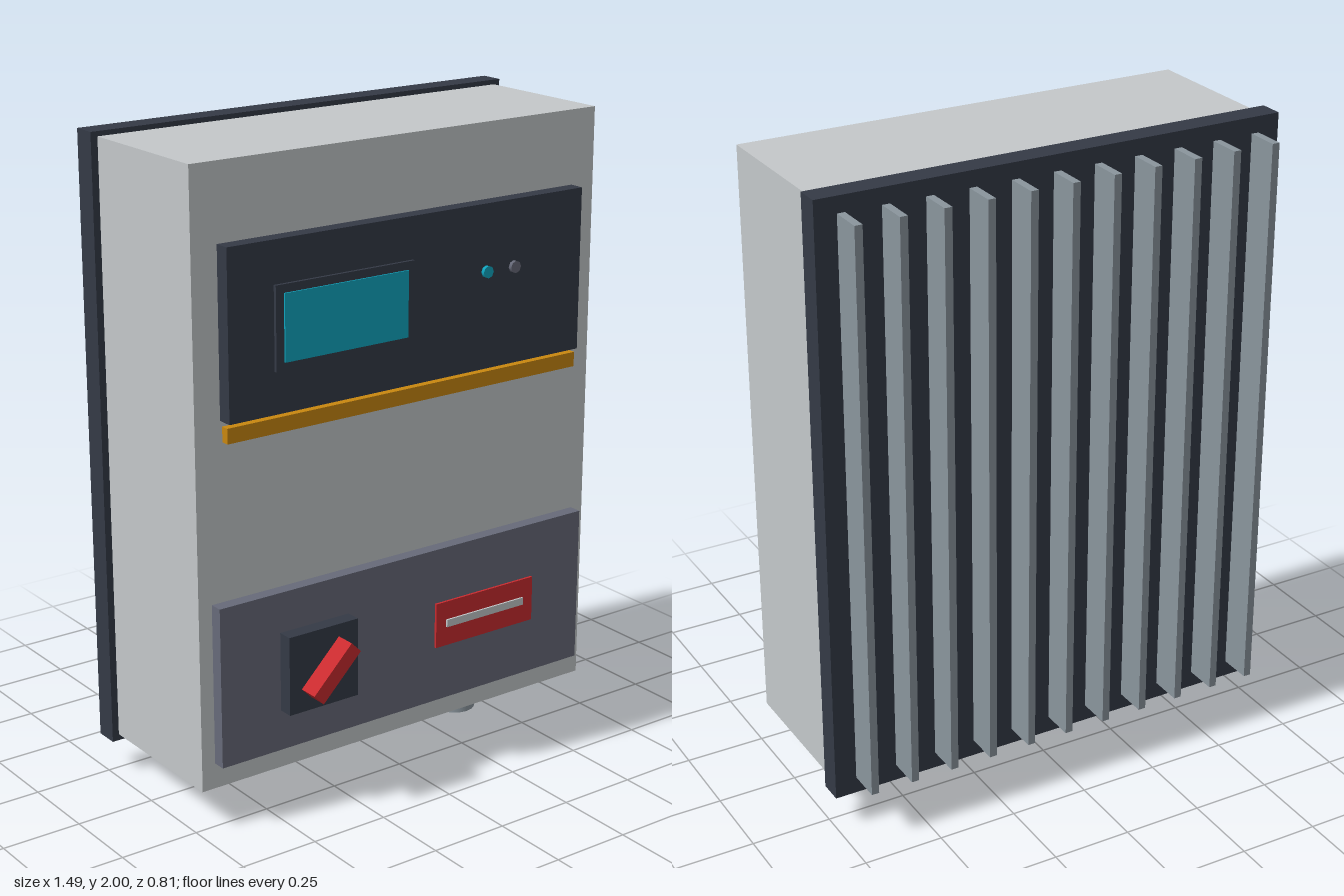
import * as THREE from 'three';

const paint = (name, color) => {
  const m = new THREE.MeshStandardMaterial({ color });
  m.name = name;
  return m;
};

export function createModel() {
  const shell = paint('light grey', 0xc4c8ca);
  const dark = paint('dark slate', 0x343a46);
  const metal = paint('fin grey', 0x8a959d);
  const panel = paint('panel grey', 0x676a79);
  const red = paint('red', 0xc92b2f);
  const teal = paint('teal', 0x0fa5bf);
  const amber = paint('amber', 0xc9870f);

  const model = new THREE.Group();
  model.name = 'inverterBox';

  const add = (name, geometry, material, x, y, z) => {
    const mesh = new THREE.Mesh(geometry, material);
    mesh.name = name;
    mesh.position.set(x, y, z);
    model.add(mesh);
    return mesh;
  };
  // Box given by its limits on each axis
  const box = (name, material, [x0, x1], [y0, y1], [z0, z1]) =>
    add(name, new THREE.BoxGeometry(x1 - x0, y1 - y0, z1 - z0), material,
      (x0 + x1) / 2, (y0 + y1) / 2, (z0 + z1) / 2);

  // Housing and back plate
  box('housing', shell, [-0.725, 0.725], [0.125, 1.985], [-0.225, 0.252]);
  box('backPlate', dark, [-0.747, 0.747], [0.105, 2], [-0.3, -0.225]);

  // Cooling fins
  for (let i = 0; i < 11; i++) {
    const x = (i - 5) * 0.1333;
    box('coolingFin', metal, [x - 0.012, x + 0.012], [0.158, 1.95], [-0.405, -0.3]);
  }

  // Display panel with screen, indicator lights and accent strip
  box('displayPanel', dark, [-0.64, 0.64], [1.25, 1.755], [0.252, 0.3]);
  box('screenBezel', dark, [-0.487, -0.003], [1.377, 1.627], [0.3, 0.31]);
  box('screen', teal, [-0.46, -0.028], [1.402, 1.602], [0.308, 0.315]);
  [[0.272, teal], [0.377, panel]].forEach(([x, material]) => {
    const light = new THREE.CylinderGeometry(0.019, 0.019, 0.012, 8).rotateX(Math.PI / 2);
    add('indicatorLight', light, material, x, 1.55, 0.306);
  });
  box('accentStrip', amber, [-0.64, 0.64], [1.19, 1.236], [0.262, 0.288]);

  // Switch panel with rotary isolator and warning plate
  box('switchPanel', panel, [-0.68, 0.68], [0.205, 0.705], [0.252, 0.293]);
  box('switchBase', dark, [-0.473, -0.227], [0.333, 0.58], [0.293, 0.34]);
  const handle = add('switchHandle', new THREE.BoxGeometry(0.19, 0.047, 0.064), red, -0.347, 0.457, 0.372);
  handle.rotation.z = Math.PI / 4;
  box('warningPlate', red, [0.1, 0.483], [0.385, 0.53], [0.293, 0.301]);
  box('warningStripe', shell, [0.138, 0.442], [0.447, 0.471], [0.3, 0.307]);

  // Cable connectors under the housing
  [-0.522, -0.405, -0.287, -0.17].forEach((x, i) => {
    add('connector', new THREE.CylinderGeometry(0.027, 0.033, 0.125, 12), i % 2 ? dark : red, x, 0.0625, 0.01);
  });
  add('cableGland', new THREE.CylinderGeometry(0.056, 0.067, 0.125, 16), metal, 0.41, 0.0625, 0.01);

  return model;
}
